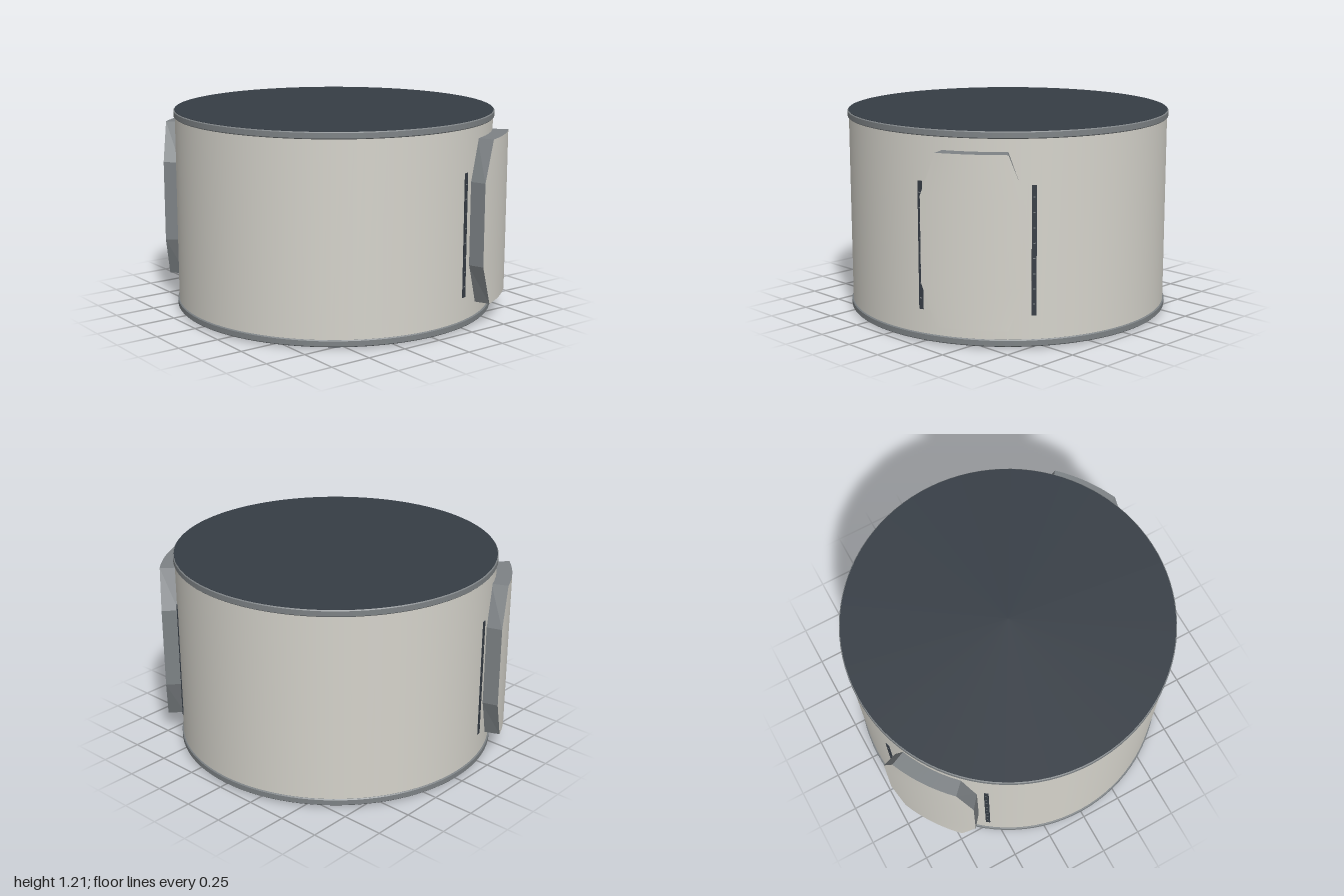
import * as THREE from 'three';

const paint = (name, color) => {
  const m = new THREE.MeshStandardMaterial({ color });
  m.name = name;
  return m;
};

const BODY_R = 0.957, RIM_R = 0.965, PANEL_R = 1.05;
const PANEL_ANGLE = THREE.MathUtils.degToRad(34.3);

// Point on a cylinder, angle measured from +x towards the back (-z)
const polar = (r, a, y) => [r * Math.cos(a), y, -r * Math.sin(a)];

// Geometry from a grid of points given as rows
function gridGeometry(rows) {
  const n = rows[0].length, index = [];
  for (let i = 0; i < rows.length - 1; i++) {
    for (let j = 0; j < n - 1; j++) {
      const a = i * n + j, b = a + 1, c = a + n, d = c + 1;
      index.push(a, b, d, a, d, c);
    }
  }
  const g = new THREE.BufferGeometry();
  g.setAttribute('position', new THREE.Float32BufferAttribute(rows.flat(2), 3));
  g.setIndex(index);
  g.computeVertexNormals();
  return g;
}

export function createModel() {
  const shell = paint('warm white shell', 0xd5d3cb);
  const trim = paint('grey trim', 0x7d8285);
  const dark = paint('dark slate', 0x363d45);
  const model = new THREE.Group();

  const add = (parent, name, geometry, material, x = 0, y = 0, z = 0) => {
    const mesh = new THREE.Mesh(geometry, material);
    mesh.name = name;
    mesh.position.set(x, y, z);
    parent.add(mesh);
    return mesh;
  };

  // Drum wall
  add(model, 'drumWall', new THREE.CylinderGeometry(BODY_R, BODY_R, 1.16, 96, 1, true), shell, 0, 0.61, 0);

  // Chamfered rims, each closed by a dark disc
  const rim = (name, y) => {
    const profile = [[0.95, 0], [0.96, 0], [RIM_R, 0.005], [RIM_R, 0.035], [0.96, 0.04], [0.95, 0.04]];
    // One lathe per profile segment keeps the edges sharp
    const group = new THREE.Group();
    group.name = name;
    for (let i = 0; i < profile.length - 1; i++) {
      const pts = [profile[i], profile[i + 1]].map(p => new THREE.Vector2(...p));
      add(group, name + 'Band', new THREE.LatheGeometry(pts, 96), trim, 0, y, 0);
    }
    model.add(group);
  };
  rim('bottomRim', 0.012);
  rim('topRim', 1.172);
  add(model, 'lid', new THREE.CylinderGeometry(0.959, 0.959, 0.006, 96), dark, 0, 1.211, 0);
  add(model, 'base', new THREE.CylinderGeometry(0.957, 0.957, 0.006, 96), dark, 0, 0.0135, 0);

  // Curved octagonal side panel: [height, half angle in degrees]
  const outline = [[0.13, 11], [0.37, 16.1], [0.86, 16.1], [1.1, 11]];
  const COLS = 16;
  const faceRows = r => outline.map(([y, h]) => Array.from({ length: COLS + 1 }, (_, j) =>
    polar(r, PANEL_ANGLE + THREE.MathUtils.degToRad(h) * (2 * j / COLS - 1), y)));
  const outer = faceRows(PANEL_R), inner = faceRows(0.95);
  const loop = rows => [
    ...rows[0],
    ...rows.slice(1).map(r => r[COLS]),
    ...rows[3].slice(0, COLS).reverse(),
    rows[2][0], rows[1][0], rows[0][0],
  ];
  const faceGeometry = gridGeometry(outer);
  const edgeGeometry = gridGeometry([loop(inner), loop(outer)]).toNonIndexed();
  edgeGeometry.computeVertexNormals();

  for (const [side, turn] of [['left', 0], ['right', Math.PI]]) {
    const group = new THREE.Group();
    group.name = side + 'SidePanel';
    group.rotation.y = turn;
    add(group, 'panelFace', faceGeometry, shell);
    add(group, 'panelEdge', edgeGeometry, trim);

    // Slim vertical strips beside the panel, with small ticks
    for (const s of [-1, 1]) {
      const a = PANEL_ANGLE + s * THREE.MathUtils.degToRad(19.4);
      const strip = add(group, 'strip', new THREE.BoxGeometry(0.008, 0.73, 0.027), dark,
        ...polar(BODY_R, a, 0.555));
      strip.rotation.y = a;
      for (let i = 0; i < 8; i++) {
        add(strip, 'stripTick', new THREE.BoxGeometry(0.002, 0.006, 0.012), trim, 0.0042, -0.3 + i * 0.0857, 0);
      }
    }
    model.add(group);
  }

  // Four small feet
  for (const [x, z] of [[0.775, 0.15], [-0.15, 0.775], [-0.775, -0.15], [0.15, -0.775]]) {
    add(model, 'foot', new THREE.CylinderGeometry(0.025, 0.025, 0.012, 20), dark, x, 0.006, z);
  }
  return model;
}
